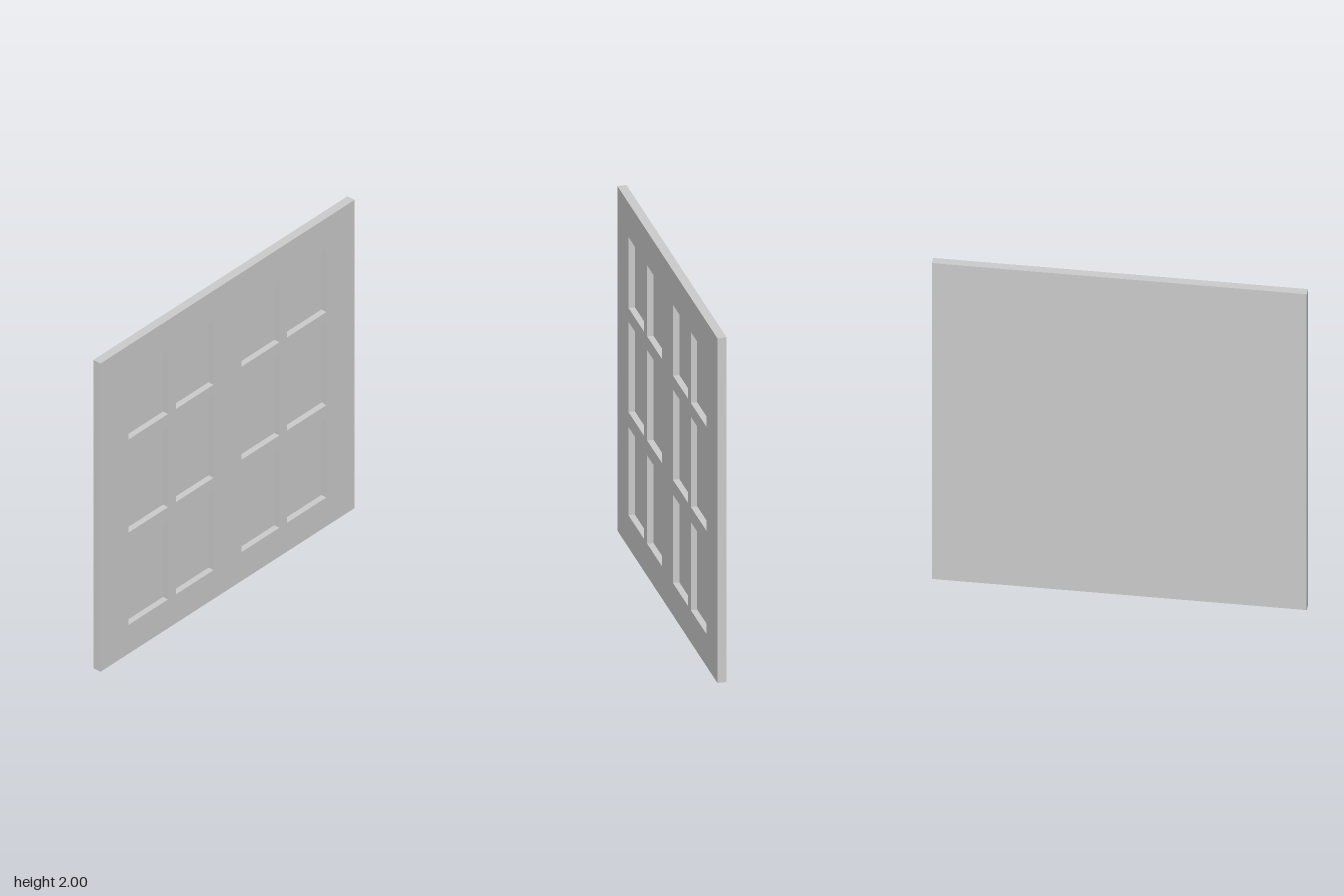
import * as THREE from 'three';

const THICKNESS = 0.05;
const RECESS = 0.035;
const COLUMNS = [[-0.78, -0.468], [-0.405, -0.11], [0.11, 0.408], [0.467, 0.778]];
const ROWS = [[0.187, 0.7], [0.786, 1.31], [1.39, 1.802]];

// Trace a rectangle into a Shape or Path
function rect(path, x0, y0, x1, y1) {
  path.moveTo(x0, y0);
  path.lineTo(x1, y0);
  path.lineTo(x1, y1);
  path.lineTo(x0, y1);
  path.closePath();
  return path;
}

export function createModel() {
  const group = new THREE.Group();
  group.name = 'panelledDoors';
  const material = new THREE.MeshStandardMaterial({ color: 0xcccccc });

  // Front frame of stiles and rails, with an opening for each recessed panel
  const face = rect(new THREE.Shape(), -1, 0, 1, 2);
  for (const [x0, x1] of COLUMNS) {
    for (const [y0, y1] of ROWS) face.holes.push(rect(new THREE.Path(), x0, y0, x1, y1));
  }
  const frame = new THREE.Mesh(
    new THREE.ExtrudeGeometry(face, { depth: RECESS, bevelEnabled: false }), material);
  frame.name = 'frame';
  frame.position.z = THICKNESS / 2 - RECESS;
  group.add(frame);

  // Solid backing that forms the floors of the recesses
  const backDepth = THICKNESS - RECESS;
  const backing = new THREE.Mesh(new THREE.BoxGeometry(2, 2, backDepth), material);
  backing.name = 'backing';
  backing.position.set(0, 1, -THICKNESS / 2 + backDepth / 2);
  group.add(backing);

  return group;
}
